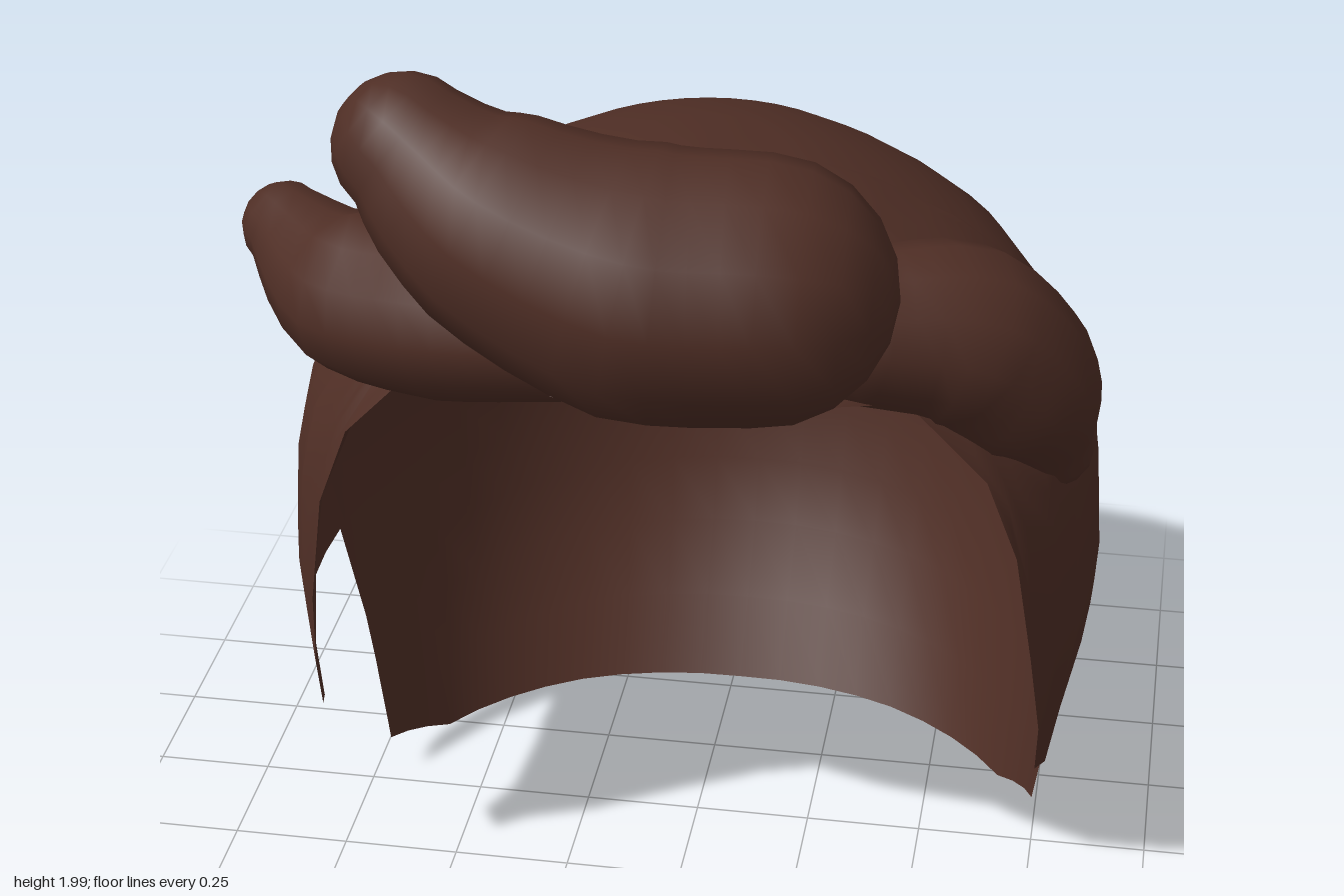
import * as THREE from 'three';

const hair = new THREE.MeshStandardMaterial({ color: 0x4f2e25, side: THREE.DoubleSide });
hair.name = 'dark brown hair';

// Cap cross-sections: [y, half width, depth to the front, depth to the back]
const SECTIONS = [
  [1.67, 0, 0, 0], [1.66, 0.17, 0.17, 0.2], [1.62, 0.32, 0.32, 0.4], [1.52, 0.52, 0.5, 0.57],
  [1.42, 0.64, 0.62, 0.7], [1.2, 0.79, 0.76, 0.89], [1.05, 0.825, 0.79, 0.96], [0.8, 0.842, 0.8, 1.0],
  [0.53, 0.805, 0.89, 0.96], [0.29, 0.77, 0.9, 0.86], [0.1, 0.74, 0.85, 0.71], [0, 0.74, 0.8, 0.64],
];
// Lower edge: [degrees from the front, y] - forehead, sideburn, ear notch, nape
const EDGE = [
  [0, 1.42], [25, 1.42], [45, 1.39], [54, 1.22], [57, 1.05], [60, 0.8], [67, 0.6], [69, 0.49],
  [74, 0.46], [76, 0.57], [85, 0.65], [97, 0.65], [99.4, 0.41], [99.8, 0.3], [100.3, 0.1],
  [120, 0.012], [150, 0.012], [180, 0.005],
];

function section(y) {
  let i = 0;
  while (i < SECTIONS.length - 2 && SECTIONS[i + 1][0] > y) i++;
  const a = SECTIONS[i], b = SECTIONS[i + 1];
  const t = (a[0] - y) / (a[0] - b[0]);
  return a.map((v, k) => v + (b[k] - v) * t);
}

// Joins rings of equal length into a closed-around surface
function loft(rings) {
  const n = rings[0].length, index = [];
  for (let i = 0; i < rings.length - 1; i++) {
    for (let j = 0; j < n; j++) {
      const k = (j + 1) % n;
      const a = i * n + j, b = i * n + k, c = a + n, d = b + n;
      index.push(a, c, b, b, c, d);
    }
  }
  const g = new THREE.BufferGeometry();
  g.setAttribute('position', new THREE.Float32BufferAttribute(
    rings.flat().flatMap((p) => [p.x, p.y, p.z]), 3));
  g.setIndex(index);
  g.computeVertexNormals();
  return g;
}

// Head cap: meridians run from the crown to the lower edge
function capGeometry() {
  const half = [];
  EDGE.forEach(([deg, y], i) => {
    if (i) {
      const [d0, y0] = EDGE[i - 1];
      const steps = Math.ceil((deg - d0) / 9);
      for (let s = 1; s < steps; s++) {
        half.push([d0 + (deg - d0) * s / steps, y0 + (y - y0) * s / steps]);
      }
    }
    half.push([deg, y]);
  });
  const mirrored = half.slice(1, -1).reverse().map(([d, y]) => [360 - d, y]);
  const columns = [...half, ...mirrored];
  const rows = 18, rings = [];
  for (let r = 0; r <= rows; r++) {
    const v = Math.max(r / rows, 0.004) ** 1.7;
    rings.push(columns.map(([deg, edgeY]) => {
      const y = 1.67 - (1.67 - edgeY) * v;
      const [, w, front, back] = section(y);
      const a = THREE.MathUtils.degToRad(deg), c = Math.cos(a);
      return new THREE.Vector3(0.017 + w * Math.sin(a), y, 0.1 + c * (c > 0 ? front : back));
    }));
  }
  return loft(rings);
}

// Rounded curl along a spine of [x, y, z, radius]
function curlGeometry(spine) {
  const sides = 12, steps = 12, cap = 5;
  const curve = new THREE.CatmullRomCurve3(spine.map(([x, y, z]) => new THREE.Vector3(x, y, z)));
  const frames = curve.computeFrenetFrames(steps, false);
  const rings = [];
  const ring = (step, shift, scale) => {
    const t = step / steps, f = t * (spine.length - 1);
    const i = Math.min(Math.floor(f), spine.length - 2);
    const r = THREE.MathUtils.lerp(spine[i][3], spine[i + 1][3], f - i);
    const centre = curve.getPoint(t).addScaledVector(frames.tangents[step], shift * r);
    rings.push(Array.from({ length: sides }, (_, j) => {
      const a = -j / sides * Math.PI * 2;
      return centre.clone()
        .addScaledVector(frames.normals[step], Math.cos(a) * r * scale)
        .addScaledVector(frames.binormals[step], Math.sin(a) * r * scale);
    }));
  };
  const angle = (k) => k / cap * Math.PI / 2;
  for (let k = cap; k > 0; k--) ring(0, -Math.sin(angle(k)), Math.max(Math.cos(angle(k)), 0.01));
  for (let s = 0; s <= steps; s++) ring(s, 0, 1);
  for (let k = 1; k <= cap; k++) ring(steps, Math.sin(angle(k)), Math.max(Math.cos(angle(k)), 0.01));
  return loft(rings);
}

const CURLS = {
  centreCurl: [[-0.45, 1.86, 0.58, 0.14], [-0.3, 1.75, 0.62, 0.21], [-0.02, 1.65, 0.64, 0.262], [0.22, 1.64, 0.625, 0.255]],
  rightCurl: [[-0.77, 1.545, 0.31, 0.09], [-0.61, 1.48, 0.43, 0.165], [-0.4, 1.49, 0.51, 0.175], [-0.15, 1.53, 0.6, 0.15]],
  leftCurl: [[0.4, 1.52, 0.51, 0.15], [0.57, 1.48, 0.43, 0.18], [0.69, 1.34, 0.36, 0.165], [0.75, 1.18, 0.29, 0.09]],
};

export function createModel() {
  const group = new THREE.Group();
  group.name = 'hairpiece';
  const add = (name, geometry) => {
    const mesh = new THREE.Mesh(geometry, hair);
    mesh.name = name;
    group.add(mesh);
  };
  add('hairCap', capGeometry());
  for (const [name, spine] of Object.entries(CURLS)) add(name, curlGeometry(spine));
  return group;
}
